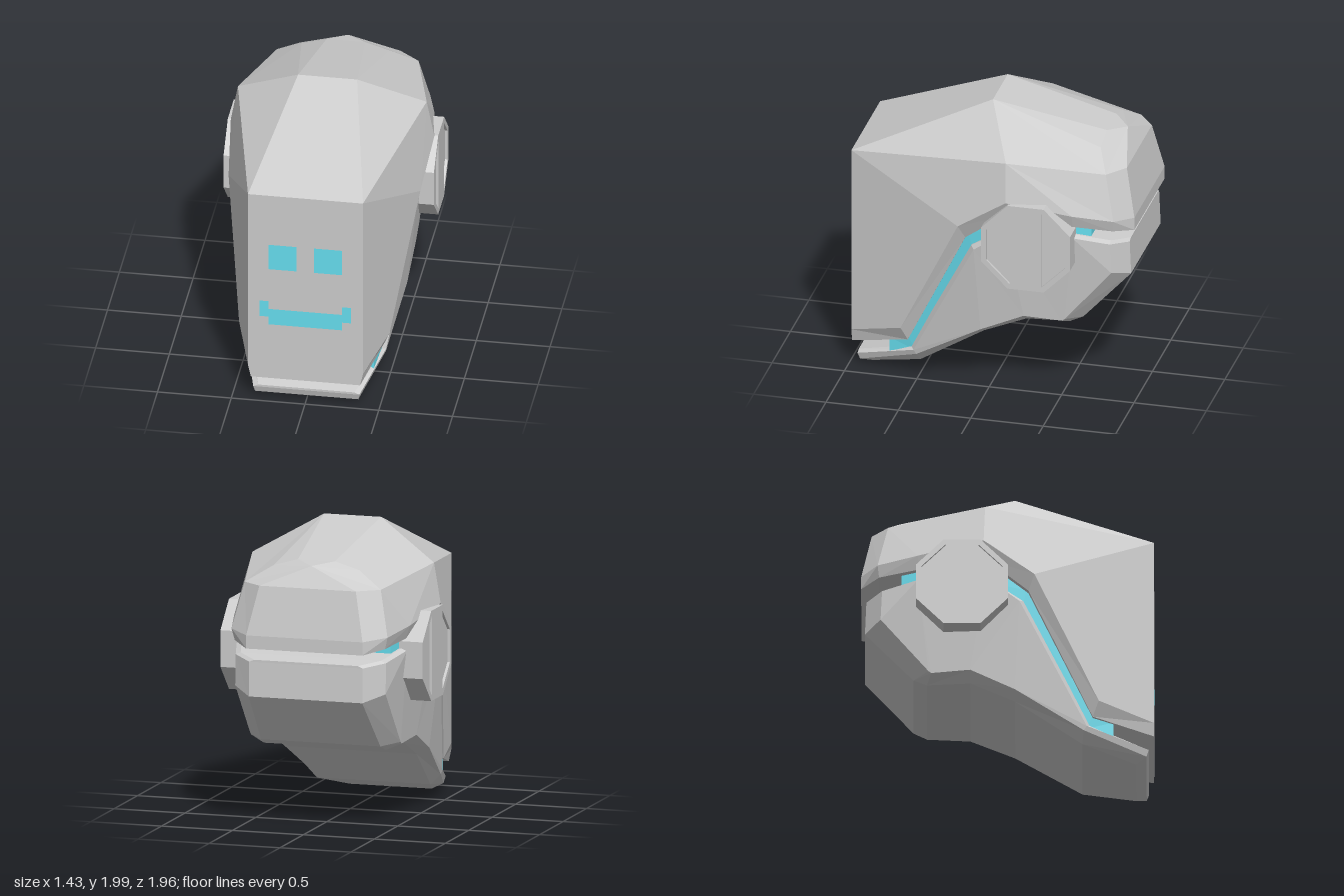
import * as THREE from 'three';

const grey = () => new THREE.MeshStandardMaterial({ color: 0xcccccc, flatShading: true, side: THREE.DoubleSide });
const cyan = () => new THREE.MeshStandardMaterial({ color: 0x66ddee, side: THREE.DoubleSide });

// Collects polygons of the left half and mirrors them across x = 0
class MirroredSurface {
  constructor() { this.data = []; }
  fan(p) {
    for (let i = 1; i < p.length - 1; i++) this.data.push(...p[0], ...p[i], ...p[i + 1]);
  }
  face(...p) {
    this.fan(p);
    this.fan(p.map(flip).reverse());
  }
  // side wall between two rows running front to back
  strip(upper, lower) {
    for (let i = 0; i < upper.length - 1; i++) {
      this.face(upper[i], lower[i], lower[i + 1]);
      this.face(upper[i], lower[i + 1], upper[i + 1]);
    }
  }
  // panels from the left half to the right half along a path
  bridge(path) {
    for (let i = 0; i < path.length - 1; i++) {
      this.fan([path[i], path[i + 1], flip(path[i + 1]), flip(path[i])]);
    }
  }
  mesh(name, material) {
    const g = new THREE.BufferGeometry();
    g.setAttribute('position', new THREE.Float32BufferAttribute(this.data, 3));
    g.computeVertexNormals();
    const m = new THREE.Mesh(g, material);
    m.name = name;
    return m;
  }
}
const flip = ([x, y, z]) => [-x, y, z];

// Helmet-like upper shell with the flat face
function upperShell() {
  const s = new MirroredSurface();
  const rim = [[.39, .27, .98], [.51, .38, .61], [.65, 1.25, .18], [.69, 1.48, -.16],
    [.62, 1.4, -.6], [.55, 1.36, -.87], [.41, 1.34, -.98]];
  const lip = [[.37, .18, .98], [.47, .28, .57], [.6, 1.15, .14], [.64, 1.36, -.14],
    [.59, 1.31, -.6], [.53, 1.28, -.86], [.41, 1.25, -.98]];
  const brow = [.39, 1.6, .98], crown = [.2, 2, .05], temple = [.64, 1.75, -.15];
  const mid = [.13, 1.83, -.72], shoulder = [.3, 1.78, -.72], peak = [0, 1.81, -.83];
  const corner = [.48, 1.67, -.8], back = [.34, 1.67, -.91];
  // roof
  s.face(brow, temple, crown);
  s.face(crown, temple, corner, shoulder);
  s.face(crown, shoulder, mid);
  s.face(mid, shoulder, peak);
  s.face(shoulder, corner, peak);
  s.face(corner, back, peak);
  // side walls and bevelled rim
  s.face(brow, rim[0], rim[1]);
  s.face(brow, rim[1], rim[2]);
  s.face(brow, rim[2], temple);
  s.face(temple, rim[2], rim[3]);
  s.face(temple, rim[3], rim[4]);
  s.face(temple, rim[4], rim[5], corner);
  s.face(corner, rim[5], rim[6], back);
  s.strip(rim, lip);
  // underside, face, roof centre and back
  s.bridge([...lip].reverse().concat([rim[0], brow, crown, mid, peak, back, rim[6], lip[6]]));
  return s.mesh('upperShell', grey());
}

// Lower jaw: rim, side wall, chamfer and base
function jaw() {
  const s = new MirroredSurface();
  const rim = [[.36, .085, .945], [.475, .21, .53], [.61, 1.07, .08], [.63, 1.23, -.14],
    [.6, 1.23, -.6], [.6, 1.23, -.6], [.53, 1.18, -.84], [.4, 1.155, -.945]];
  const top = rim.map(([x, y, z]) => [x - .035, y + .015, z + (z > 0 && z < .9 ? .025 : 0)]);
  const side = [[.35, .04, .93], [.47, .18, .51], [.54, .45, .05], [.55, .59, -.25],
    [.53, .575, -.51], [.53, .59, -.53], [.53, .97, -.85], [.4, .92, -.955]];
  const base = [[.29, .01, .86], [.4, .11, .5], [.45, .4, .05], [.46, .53, -.25],
    [.43, .53, -.54], [.42, .57, -.63], [.4, .92, -.955], [.4, .92, -.955]];
  s.strip(top, rim);
  s.strip(rim, side);
  s.strip(side, base);
  s.bridge([...top, rim[7], ...[...base].reverse(), side[0], rim[0], top[0]]);
  return s.mesh('jaw', grey());
}

// Glowing core showing in the gap between the shells
function core() {
  const s = new MirroredSurface();
  const upper = [[.42, .26, .71], [.45, .3, .57], [.56, 1.17, .13], [.59, 1.38, -.14],
    [.55, 1.33, -.6], [.52, 1.31, -.71]];
  const lower = [[.42, .15, .71], [.45, .2, .53], [.56, 1.06, .1], [.59, 1.22, -.14],
    [.55, 1.2, -.6], [.52, 1.18, -.71]];
  s.strip(upper, lower);
  s.bridge([lower[0], upper[0]]);
  s.bridge([upper[5], lower[5]]);
  return s.mesh('core', cyan());
}

const shapeOf = (pts) => new THREE.Shape(pts.map(([x, y]) => new THREE.Vector2(x, y)));

// Octagonal ear with two recessed side slots
function ear(name, side) {
  const g = new THREE.Group();
  g.name = name;
  const r = .307, c = .125;
  const octagon = () => shapeOf([[r, -c], [r, c], [c, r], [-c, r], [-r, c], [-r, -c], [-c, -r], [c, -r]]);
  const add = (part, shape, from, to) => {
    const geo = new THREE.ExtrudeGeometry(shape, { depth: to - from, bevelEnabled: false });
    const m = new THREE.Mesh(geo, grey());
    m.position.z = from;
    m.name = part;
    g.add(m);
  };
  add('earBody', octagon(), .44, .695);
  const plate = octagon();
  for (const k of [-1, 1]) {
    plate.holes.push(shapeOf([[k * .11, -.272], [k * .272, -.112], [k * .272, .112], [k * .11, .272]]));
  }
  add('earPlate', plate, .695, .713);
  g.position.set(0, 1.167, -.305);
  g.rotation.y = side * Math.PI / 2;
  return g;
}

// Flat blocks of the eyes and smile, given as x0, x1, y0, y1
function faceDisplay() {
  const g = new THREE.Group();
  g.name = 'faceDisplay';
  const add = (name, x0, x1, y0, y1) => {
    const m = new THREE.Mesh(new THREE.PlaneGeometry(x1 - x0, y1 - y0), cyan());
    m.position.set((x0 + x1) / 2, (y0 + y1) / 2, .984);
    m.name = name;
    g.add(m);
  };
  add('leftEye', .06, .25, 1.03, 1.22);
  add('rightEye', -.25, -.06, 1.03, 1.22);
  add('mouth', -.25, .25, .6, .72);
  add('leftMouthCorner', .25, .31, .66, .78);
  add('rightMouthCorner', -.31, -.25, .66, .78);
  return g;
}

export function createModel() {
  const model = new THREE.Group();
  model.name = 'robotHead';
  model.add(upperShell(), jaw(), core(), ear('leftEar', 1), ear('rightEar', -1), faceDisplay());
  return model;
}
